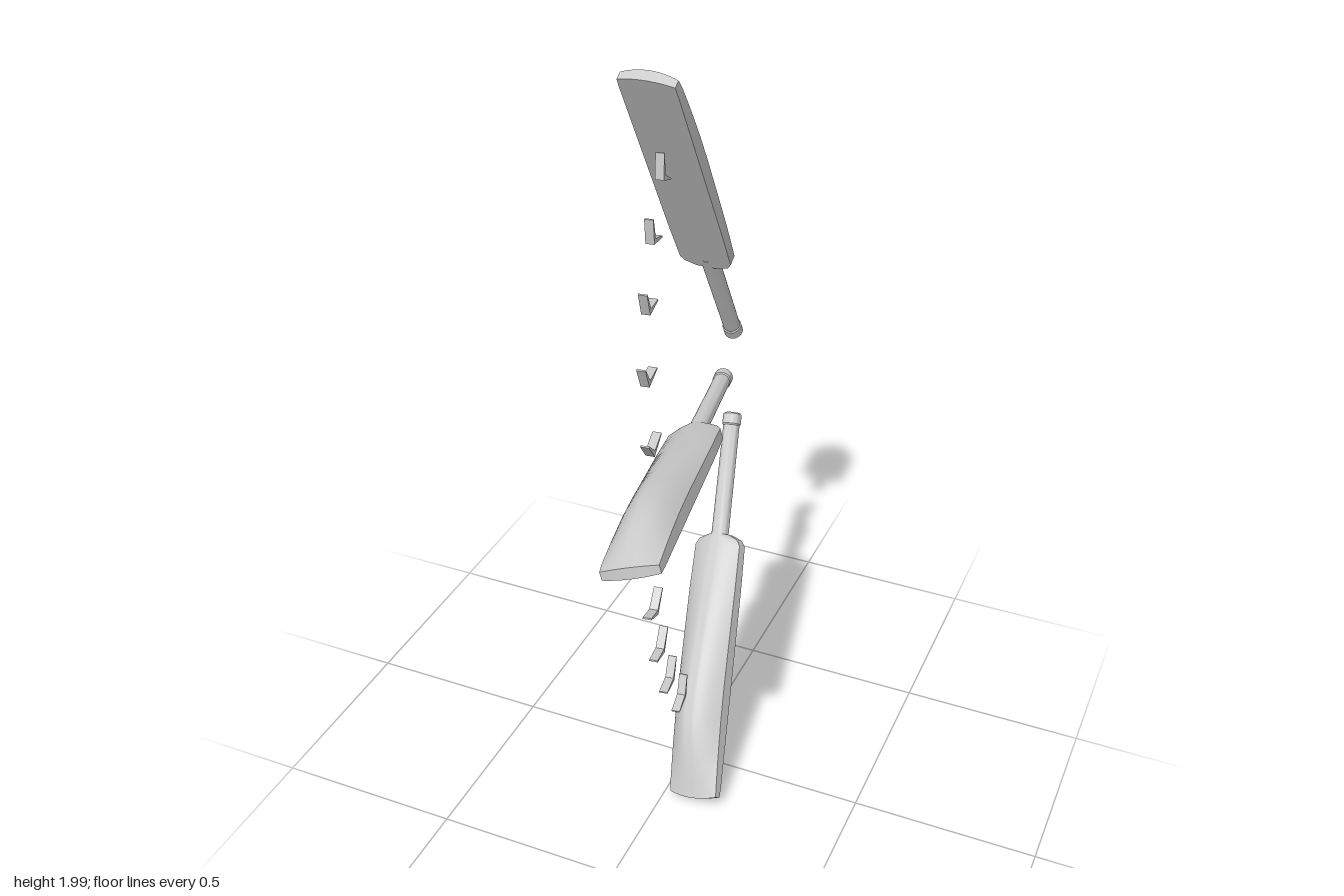
import * as THREE from 'three';
import { toCreasedNormals } from 'three/addons/utils/BufferGeometryUtils.js';

const V = (x, y, z) => new THREE.Vector3(x, y, z);
const material = new THREE.MeshStandardMaterial({ color: 0xcccccc });

function addMesh(parent, name, geometry) {
  const mesh = new THREE.Mesh(geometry, material);
  mesh.name = name;
  parent.add(mesh);
  return mesh;
}

// Blade: flat hitting face at z = FACE, humped back, lofted from shoulder to toe
const FACE = -0.022;
const STATIONS = [ // y, half width, edge height, spine height
  [0.345, 0.030, 0.030, 0.046],
  [0.358, 0.060, 0.030, 0.048],
  [0.375, 0.071, 0.030, 0.050],
  [0.50, 0.073, 0.034, 0.064],
  [0.64, 0.073, 0.037, 0.079],
  [0.76, 0.073, 0.039, 0.089],
  [0.85, 0.073, 0.038, 0.092],
  [0.92, 0.073, 0.035, 0.080],
  [0.98, 0.073, 0.031, 0.062],
  [1.03, 0.073, 0.027, 0.044],
  [1.062, 0.072, 0.022, 0.030],
];

function bladeGeometry() {
  const N = 16, ring = 2 * (N + 1), pos = [], idx = [];
  STATIONS.forEach(([y, w, edge, spine], s) => {
    for (let k = 0; k < ring; k++) {
      const back = k <= N;
      const u = (back ? k : ring - 1 - k) / N * 2 - 1;
      const round = 1 - u * u;
      const toe = s === STATIONS.length - 1 ? 0.01 * round : 0;
      pos.push(u * w, y + toe, FACE + (back ? edge + (spine - edge) * round : 0));
    }
  });
  for (let s = 0; s < STATIONS.length - 1; s++) {
    for (let k = 0; k < ring; k++) {
      const a = s * ring + k, b = s * ring + (k + 1) % ring;
      idx.push(a, b, b + ring, a, b + ring, a + ring);
    }
  }
  // End caps join the back points to the face points
  const last = (STATIONS.length - 1) * ring;
  for (let k = 0; k < N; k++) {
    const a = k, b = k + 1, c = ring - 2 - k, d = ring - 1 - k;
    idx.push(a, d, c, a, c, b);
    idx.push(last + a, last + c, last + d, last + a, last + b, last + c);
  }
  const g = new THREE.BufferGeometry();
  g.setAttribute('position', new THREE.Float32BufferAttribute(pos, 3));
  g.setIndex(idx);
  return toCreasedNormals(g, 0.6);
}

// Handle with a slightly thicker grip end
function handleGeometry() {
  const profile = [[0, 0], [0.022, 0], [0.026, 0.004], [0.026, 0.032], [0.023, 0.036], [0.024, 0.37], [0, 0.37]];
  const g = new THREE.LatheGeometry(profile.map(([r, y]) => new THREE.Vector2(r, y)), 24);
  return toCreasedNormals(g, 0.6);
}

// Places a bat from its handle end towards its toe, rolled about its length
function makeBat(name, blade, handle, end, toe, roll) {
  const bat = new THREE.Group();
  bat.name = name;
  addMesh(bat, 'blade', blade);
  addMesh(bat, 'handle', handle);
  const d = toe.clone().sub(end).normalize();
  const w0 = V(1, 0, 0).addScaledVector(d, -d.x).normalize();
  const n0 = d.clone().cross(w0);
  const w = w0.multiplyScalar(Math.cos(roll)).addScaledVector(n0, Math.sin(roll));
  const n = d.clone().cross(w);
  bat.quaternion.setFromRotationMatrix(new THREE.Matrix4().makeBasis(w.negate(), d, n));
  bat.position.copy(end);
  return bat;
}

// Small V-shaped arrow mark, tapering to its two tips
function arrowGeometry() {
  const half = THREE.MathUtils.degToRad(57), L = 0.062, t = 0.004;
  const sx = Math.sin(half), cy = Math.cos(half);
  const tip = [sx * L, cy * L];
  const shape = new THREE.Shape([
    [0, -0.006], tip, [tip[0] - cy * t, tip[1] + sx * t],
    [0, 0.010], [-tip[0] + cy * t, tip[1] + sx * t], [-tip[0], tip[1]],
  ].map(([x, y]) => new THREE.Vector2(x, y)));
  const g = new THREE.ExtrudeGeometry(shape, { depth: 0.022, bevelEnabled: false });
  g.translate(0, 0, -0.011);
  g.rotateY(-Math.PI / 2);
  return g;
}

export function createModel() {
  const model = new THREE.Group();
  model.name = 'swingingBats';

  // Three bats fanned through the swing
  const blade = bladeGeometry(), handle = handleGeometry();
  model.add(
    makeBat('raisedBat', blade, handle, V(-0.103, 1.073, -0.554), V(-0.103, 1.994, -0.01), 0),
    makeBat('levelBat', blade, handle, V(-0.105, 0.963, -0.49), V(0.097, 1.063, 0.575), 0.3),
    makeBat('loweredBat', blade, handle, V(-0.078, 0.848, -0.492), V(0.09, 0.036, 0.18), 0.23),
  );

  // Arc of arrow marks: x, y, z of the corner and tilt in degrees
  const marks = [
    [-0.100, 1.725, -0.061, 58], [-0.068, 1.622, 0.066, 46],
    [-0.037, 1.492, 0.162, 32], [-0.002, 1.354, 0.247, 25],
    [0.030, 1.200, 0.294, 12], [0.057, 0.918, 0.331, 0],
    [0.046, 0.760, 0.321, -13], [0.040, 0.602, 0.273, -22],
    [0.035, 0.453, 0.204, -30], [0.027, 0.320, 0.109, -40],
  ];
  const arrow = arrowGeometry();
  const arc = new THREE.Group();
  arc.name = 'swingArc';
  for (const [x, y, z, tilt] of marks) {
    const mark = addMesh(arc, 'arrowMark', arrow);
    mark.position.set(x, y, z);
    mark.rotation.set(-THREE.MathUtils.degToRad(tilt), 0.14, 0, 'YXZ');
  }
  model.add(arc);
  return model;
}
